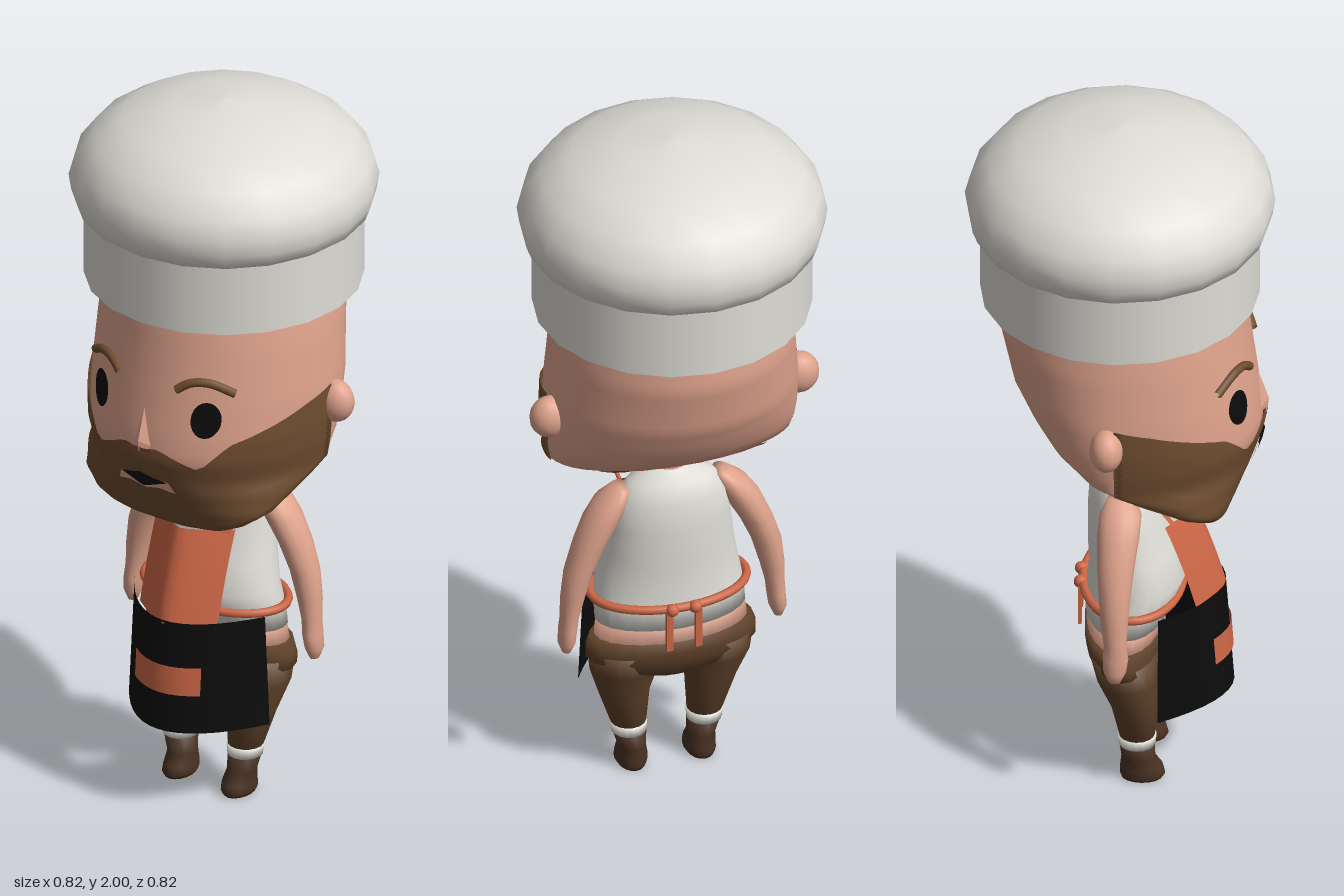
import * as THREE from 'three';
import { ConvexGeometry } from 'three/addons/geometries/ConvexGeometry.js';

const mat = (name, color, side = THREE.FrontSide) => {
  const m = new THREE.MeshStandardMaterial({ color, side });
  m.name = name;
  return m;
};

// Surface from a grid of points; fn(u, v) with u around and v upwards
function grid(cols, rows, fn, closed = false) {
  const pos = [], idx = [], n = closed ? cols : cols + 1;
  for (let r = 0; r <= rows; r++)
    for (let c = 0; c < n; c++) pos.push(...fn(c / cols, r / rows));
  for (let r = 0; r < rows; r++)
    for (let c = 0; c < cols; c++) {
      const a = r * n + c, b = r * n + ((c + 1) % n), d = a + n, e = b + n;
      idx.push(a, b, d, b, e, d);
    }
  const g = new THREE.BufferGeometry();
  g.setAttribute('position', new THREE.Float32BufferAttribute(pos, 3));
  g.setIndex(idx);
  g.computeVertexNormals();
  return g;
}

// Stacked ellipses, each [y, centreX, centreZ, radiusX, radiusZ], closed at both ends
function loft(sections, sides = 20) {
  const cap = ([y, x, z]) => [y, x, z, 0, 0];
  const s = [cap(sections[0]), ...sections, cap(sections[sections.length - 1])];
  return grid(sides, s.length - 1, (u, v) => {
    const [y, x, z, rx, rz] = s[Math.round(v * (s.length - 1))], t = u * Math.PI * 2;
    return [x + rx * Math.sin(t), y, z + rz * Math.cos(t)];
  }, true);
}

// Linear lookup in a table whose first column ascends
function lookup(table, k) {
  let i = 1;
  while (i < table.length - 1 && table[i][0] < k) i++;
  const a = table[i - 1], b = table[i];
  const t = Math.min(1, Math.max(0, (k - a[0]) / (b[0] - a[0])));
  return a.map((q, j) => q + (b[j] - q) * t);
}

// Head cross-sections: y, half width, front z, back z, middle z
const HEAD = [
  [0.868, 0, 0.27, 0.27, 0.27], [0.872, 0.14, 0.285, 0.25, 0.27],
  [0.9, 0.22, 0.3, 0.21, 0.25], [0.94, 0.28, 0.318, 0.13, 0.2],
  [1.0, 0.312, 0.345, -0.02, 0.1], [1.04, 0.325, 0.36, -0.12, 0],
  [1.1, 0.335, 0.378, -0.2, 0], [1.16, 0.34, 0.374, -0.24, 0],
  [1.25, 0.338, 0.362, -0.285, 0], [1.4, 0.325, 0.342, -0.318, 0],
  [1.49, 0.312, 0.332, -0.312, 0], [1.6, 0.28, 0.3, -0.28, 0],
];
function headPoint(t, y, off = 0) {
  const [, w, zf, zb, zc] = lookup(HEAD, y), c = Math.cos(t);
  return [(w + off) * Math.sin(t), y, zc + ((c > 0 ? zf - zc : zc - zb) + off) * c];
}
function headZ(x, y) {
  const [, w, zf, , zc] = lookup(HEAD, y);
  return zc + (zf - zc) * Math.sqrt(Math.max(0, 1 - (x / w) ** 2));
}

// Upper edge of the beard by angle from the front
const BEARD_TOP = [[0, 1.125], [0.15, 1.135], [0.48, 1.085], [0.7, 1.16],
  [1.3, 1.235], [1.58, 1.26], [1.64, 1.0], [4, 1.0]];

// Lay a flat geometry on the face
function onFace(g, off) {
  const p = g.attributes.position;
  for (let i = 0; i < p.count; i++) p.setZ(i, headZ(p.getX(i), p.getY(i)) + off);
  g.computeVertexNormals();
  return g;
}
const facePlate = (pts, off) =>
  onFace(new THREE.ShapeGeometry(new THREE.Shape(pts.map(p => new THREE.Vector2(...p)))), off);

export function createModel() {
  const root = new THREE.Group();
  root.name = 'chef';
  const D = THREE.DoubleSide;
  const skin = mat('skin', 0xdfa38c), white = mat('white cloth', 0xdfddd6);
  const beardBrown = mat('beard brown', 0x6f4d30, D), trouserBrown = mat('trouser brown', 0x5f422a);
  const shoeBrown = mat('shoe brown', 0x4a3223), orange = mat('orange cloth', 0xcd6746, D);
  const black = mat('black', 0x0c0c0c, D), maroon = mat('maroon', 0x8a4a43, D);
  const add = (name, g, m, x = 0, y = 0, z = 0) => {
    const mesh = new THREE.Mesh(g, m);
    mesh.name = name;
    mesh.position.set(x, y, z);
    root.add(mesh);
    return mesh;
  };
  const tube = (pts, r, closed = false, seg = 16) => new THREE.TubeGeometry(
    new THREE.CatmullRomCurve3(pts.map(p => new THREE.Vector3(...p)), closed), seg, r, 8, closed);

  // Hat
  const dome = [[0.36, 1.68], [0.39, 1.7], [0.403, 1.735], [0.41, 1.78], [0.395, 1.835],
    [0.35, 1.895], [0.27, 1.947], [0.14, 1.988], [0, 2]];
  add('hatPuff', new THREE.LatheGeometry(dome.map(p => new THREE.Vector2(...p)), 20), white);
  add('hatBand', new THREE.CylinderGeometry(0.37, 0.37, 0.2, 20), white, 0, 1.59, 0);

  // Head and beard
  add('head', grid(40, 24, (u, v) => headPoint(u * Math.PI * 2, 1.0 + 0.6 * v), true), skin);
  add('beard', grid(96, 20, (u, v) => {
    const t = (u - 0.5) * Math.PI * 2, top = lookup(BEARD_TOP, Math.abs(t))[1];
    return headPoint(t, 0.868 + (top - 0.868) * v, 0.009);
  }), beardBrown);
  add('nape', grid(12, 3, (u, v) =>
    headPoint(Math.PI + (u - 0.5) * 1.5, 1.0 + v * (0.05 + 0.012 * Math.sin(u * 14)), 0.005)), maroon);

  // Face
  const nose = [[0, 1.28, 0.35], [0.045, 1.125, 0.36], [-0.045, 1.125, 0.36],
    [0, 1.15, 0.393], [0, 1.12, 0.39]];
  add('nose', new ConvexGeometry(nose.map(p => new THREE.Vector3(...p))), skin);
  add('noseShade', facePlate([[-0.05, 1.12], [0.05, 1.12], [0.03, 1.132], [-0.03, 1.132]], 0.016), maroon);
  add('lowerLip', facePlate([[-0.09, 1.0], [-0.045, 1.01], [0, 1.0], [0.045, 1.01], [0.09, 1.0],
    [0.075, 1.035], [0, 1.04], [-0.075, 1.035]], 0.014), skin);
  add('mouth', facePlate([[-0.075, 1.035], [-0.02, 1.015], [0, 1.007], [0.02, 1.015], [0.075, 1.035],
    [0.03, 1.046], [0, 1.056], [-0.03, 1.046]], 0.018), black);

  for (const s of [1, -1]) {
    const side = s > 0 ? 'left' : 'right';
    const eye = new THREE.CircleGeometry(1, 20).scale(0.035, 0.051, 1).translate(s * 0.168, 1.23, 0);
    add(side + 'Eye', onFace(eye, 0.006), black);
    const brow = [[0.09, 1.31], [0.125, 1.333], [0.17, 1.335], [0.225, 1.305]];
    add(side + 'Eyebrow', tube(brow.map(([x, y]) => [s * x, y, headZ(x, y) + 0.006]), 0.012), beardBrown);
    add(side + 'Ear', new THREE.SphereGeometry(1, 14, 10).scale(0.055, 0.06, 0.045), skin, s * 0.345, 1.2, -0.02);

    // Arm with tapered hand
    add(side + 'Arm', loft([
      [0.43, 0.293, 0.0, 0.012, 0.016], [0.46, 0.292, 0.0, 0.024, 0.03], [0.5, 0.288, 0.002, 0.025, 0.034],
      [0.54, 0.284, 0.0, 0.026, 0.03], [0.6, 0.276, -0.002, 0.033, 0.036], [0.68, 0.26, -0.002, 0.04, 0.042],
      [0.76, 0.23, 0.0, 0.045, 0.05], [0.83, 0.195, 0.005, 0.05, 0.056], [0.88, 0.165, 0.01, 0.045, 0.055],
      [0.915, 0.14, 0.01, 0.025, 0.035]].map(([y, x, ...r]) => [y, s * x, ...r]), 14), skin);

    // Leg, sock and shoe
    const limb = (name, rows, m) =>
      add(side + name, loft(rows.map(([y, x, ...r]) => [y, s * x, ...r]), 16), m);
    limb('TrouserLeg', [[0.138, 0.105, 0.05, 0.047, 0.047], [0.25, 0.12, 0.045, 0.07, 0.065],
      [0.34, 0.125, 0.025, 0.095, 0.083], [0.41, 0.125, 0.015, 0.1, 0.09]], trouserBrown);
    limb('Sock', [[0.112, 0.104, 0.05, 0.047, 0.049], [0.142, 0.105, 0.05, 0.05, 0.052]], white);
    limb('Shoe', [[0, 0.095, 0.062, 0.036, 0.054], [0.012, 0.095, 0.064, 0.043, 0.06],
      [0.035, 0.094, 0.062, 0.042, 0.057], [0.065, 0.096, 0.053, 0.038, 0.045],
      [0.115, 0.103, 0.05, 0.046, 0.047]], shoeBrown);

    // Apron straps, neck cord and back ties
    add(side + 'ApronStrap', grid(1, 4, (u, v) =>
      [s * 0.11 + (u - 0.5) * 0.03, 0.805 + 0.07 * v, 0.15 - 0.05 * v]), orange);
    add(side + 'NeckCord', tube([[s * 0.11, 0.865, 0.105], [s * 0.11, 0.885, 0.19], [s * 0.11, 0.905, 0.275]], 0.006), orange);
    add(side + 'Knot', new THREE.SphereGeometry(0.018, 10, 8), orange, s * 0.032, 0.57, -0.103);
    add(side + 'Tie', new THREE.BoxGeometry(0.018, 0.12, 0.01), orange, s * 0.04, 0.505, -0.104);
  }

  // Body
  add('neck', new THREE.CylinderGeometry(0.045, 0.055, 0.12, 14), skin, 0, 0.97, 0.03);
  add('shirt', loft([[0.5, 0, 0.02, 0.207, 0.112], [0.56, 0, 0.035, 0.205, 0.125], [0.62, 0, 0.05, 0.196, 0.132],
    [0.7, 0, 0.035, 0.18, 0.12], [0.8, 0, 0.018, 0.165, 0.103], [0.88, 0, 0.01, 0.155, 0.09],
    [0.93, 0, 0.01, 0.115, 0.068], [0.96, 0, 0.015, 0.055, 0.045]], 24), white);
  add('waist', loft([[0.42, 0, 0.012, 0.215, 0.1], [0.51, 0, 0.018, 0.203, 0.107]], 24), skin);
  add('trouserSeat', loft([[0.32, 0, 0.02, 0.1, 0.06], [0.35, 0, 0.018, 0.2, 0.09], [0.39, 0, 0.014, 0.235, 0.103],
    [0.42, 0, 0.012, 0.235, 0.105], [0.455, 0, 0.012, 0.222, 0.105]], 24), trouserBrown);

  // Apron
  const skirtZ = (x, y) => {
    const t = (0.57 - y) / 0.315, w = 0.21 + 0.015 * t;
    return 0.11 + (0.17 + 0.022 * t) * (1 - (x / w) ** 2);
  };
  add('apronSkirt', grid(16, 4, (u, v) => {
    const y = 0.255 + 0.315 * v, x = (2 * u - 1) * (0.225 - 0.015 * v);
    return [x, y, skirtZ(x, y)];
  }), black);
  add('apronPocket', grid(8, 2, (u, v) => {
    const x = (2 * u - 1) * 0.105, y = 0.365 + 0.08 * v;
    return [x, y, skirtZ(x, y) + 0.006];
  }), orange);
  add('apronBib', grid(12, 6, (u, v) => {
    const k = 2 * u - 1;
    return [k * 0.125, 0.56 + 0.25 * v, 0.282 - 0.065 * v - 0.017 * v * v - 0.075 * Math.abs(k) ** 1.3];
  }), orange);
  const belt = Array.from({ length: 20 }, (_, i) => {
    const t = i / 20 * Math.PI * 2;
    return [0.214 * Math.sin(t), 0.57, 0.035 + 0.132 * Math.cos(t)];
  });
  add('apronBelt', tube(belt, 0.012, true, 40), orange);

  return root;
}
